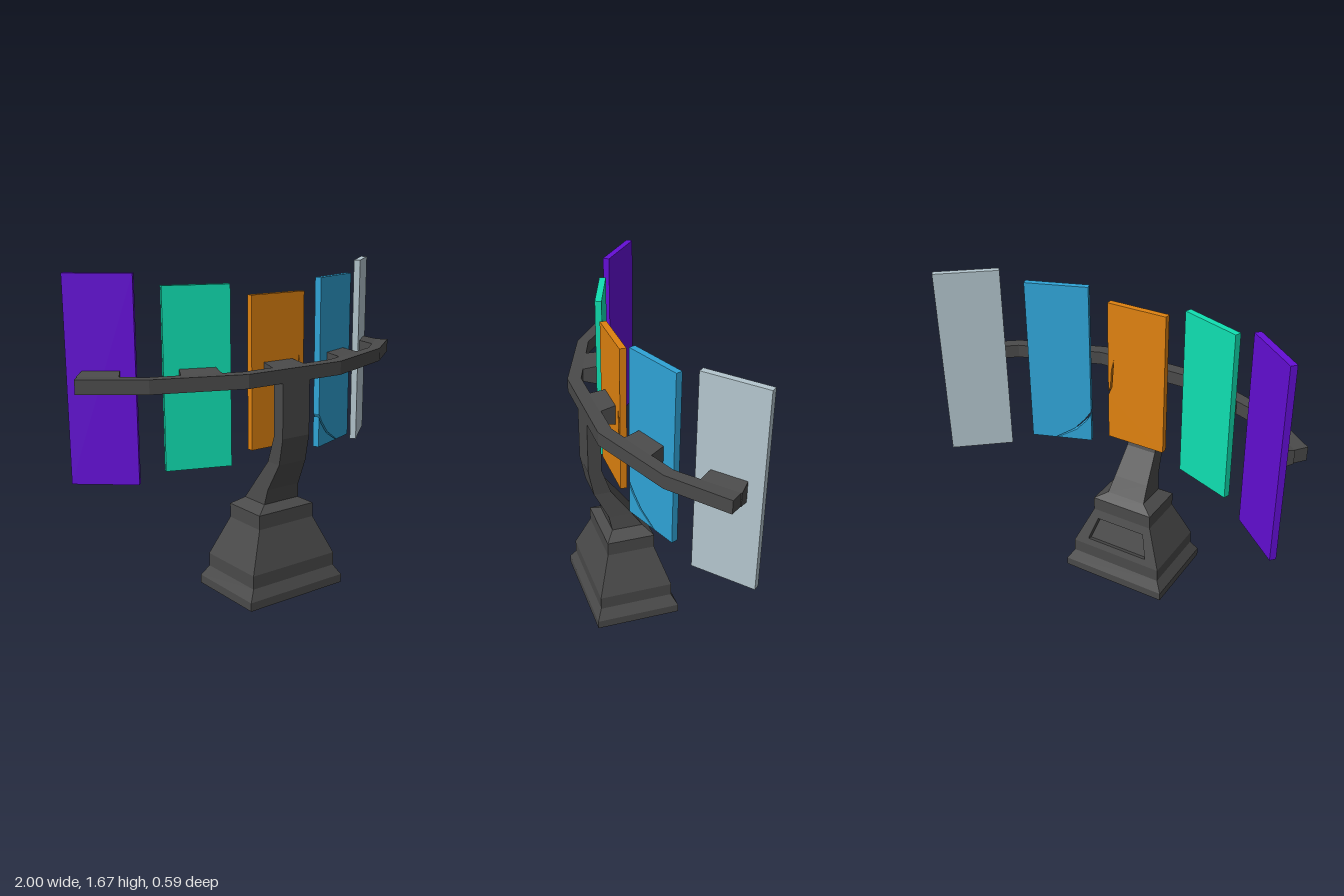
import * as THREE from 'three';

const DARK = 0x4a4a4a, THICK = 0.034, HALF = 0.165;

// Skin a list of four-cornered rings; skip(i, k) may leave out a side quad.
function loft(rings, { start = true, end = true, skip = () => false } = {}) {
  const pos = [];
  const quad = (a, b, c, d) => pos.push(...a, ...b, ...c, ...a, ...c, ...d);
  for (let i = 0; i < rings.length - 1; i++) {
    const r = rings[i], n = rings[i + 1];
    for (let k = 0; k < 4; k++) {
      const m = (k + 1) % 4;
      if (!skip(i, k)) quad(r[k], r[m], n[m], n[k]);
    }
  }
  if (start) quad(...[...rings[0]].reverse());
  if (end) quad(...rings[rings.length - 1]);
  const g = new THREE.BufferGeometry();
  g.setAttribute('position', new THREE.Float32BufferAttribute(pos, 3));
  g.computeVertexNormals();
  return g;
}

function part(name, geometry, color = DARK) {
  const mesh = new THREE.Mesh(geometry, new THREE.MeshStandardMaterial({ color, flatShading: true }));
  mesh.name = name;
  return mesh;
}

// Horizontal ring: height, half width, back z, front z
const level = ([y, h, zb, zf]) => [[-h, y, zf], [h, y, zf], [h, y, zb], [-h, y, zb]];
// Upright ring facing z
const upright = (h, y0, y1, z) => [[-h, y0, z], [h, y0, z], [h, y1, z], [-h, y1, z]];

// Plate cut from one or more outlines, centred on z = 0
function plate(outlines) {
  const shapes = outlines.map(o => new THREE.Shape(o.map(p => new THREE.Vector2(...p))));
  return new THREE.ExtrudeGeometry(shapes, { depth: THICK, bevelEnabled: false }).translate(0, 0, -THICK / 2);
}

export function createModel() {
  const model = new THREE.Group();

  // Stepped base, with the back slope left open for the recess
  const base = [
    [0, 0.30, -0.155, 0.295], [0.045, 0.30, -0.155, 0.295], [0.10, 0.265, -0.125, 0.268],
    [0.17, 0.265, -0.125, 0.268], [0.375, 0.175, -0.055, 0.2], [0.45, 0.175, -0.055, 0.2],
    [0.485, 0.11, -0.01, 0.155],
  ];
  model.add(part('base', loft(base.map(level), { skip: (i, k) => i === 3 && k === 2 })));

  // Sunken panel on the back slope
  const slope = (t, h, depth = 0) => [h, 0.17 + 0.205 * t - 0.32 * depth, -0.125 + 0.07 * t + 0.95 * depth];
  const frame = (t0, h0, t1, h1, d) => [slope(t0, h0, d), slope(t0, -h0, d), slope(t1, -h1, d), slope(t1, h1, d)];
  model.add(part('baseRecess', loft([
    frame(0, 0.265, 1, 0.175, 0), frame(0.17, 0.18, 0.78, 0.14, 0), frame(0.17, 0.18, 0.78, 0.14, 0.03),
  ], { start: false })));

  // Curved neck
  const stem = [
    [0.485, 0.11, -0.01, 0.155], [0.565, 0.1, 0.046, 0.17], [0.71, 0.085, 0.152, 0.243],
    [0.85, 0.085, 0.2, 0.27], [1.2, 0.085, 0.2, 0.27],
  ];
  model.add(part('stem', loft(stem.map(level))));

  // Bent crossbar: front x, front z, back x, back z
  const bends = [[0.29, 0.27, 0.275, 0.2], [0.73, 0.1, 0.7, 0.045], [1, -0.11, 0.957, -0.165]];
  const path = [...bends.map(([a, b, c, d]) => [-a, b, -c, d]).reverse(), ...bends];
  model.add(part('crossbar', loft(path.map(([fx, fz, bx, bz]) =>
    [[fx, 1.13, fz], [bx, 1.13, bz], [bx, 1.2, bz], [fx, 1.2, fz]]))));

  // Panels, each on a flared mounting block
  const places = [
    { x: 0, z: 0.1075, angle: 0, y0: 0.775, y1: 1.55, reach: 0.1 },
    { x: 0.4325, z: 0.043, angle: 20, y0: 0.715, y1: 1.61, reach: 0.098 },
    { x: 0.827, z: -0.172, angle: 40, y0: 0.655, y1: 1.67, reach: 0.09 },
  ];
  const addPanel = (name, { x, z, angle, y0, y1, reach }, side, color, outlines) => {
    const g = new THREE.Group();
    g.name = name;
    g.position.set(side * x, 0, z);
    g.rotation.y = side * THREE.MathUtils.degToRad(angle);
    g.add(part(name + 'Plate', plate(outlines || [[[-HALF, y0], [HALF, y0], [HALF, y1], [-HALF, y1]]]), color));
    g.add(part(name + 'Mount', loft([
      upright(0.09, 1.11, 1.215, THICK / 2), upright(0.1, 1.13, 1.2, reach),
    ])));
    model.add(g);
  };

  // Middle panel with a crack in its left edge
  addPanel('centerPanel', places[0], 1, 0xdf8210, [[
    [-HALF, 0.775], [HALF, 0.775], [HALF, 1.03], [0.143, 1.08], [0.13, 1.24],
    [0.145, 1.18], [0.152, 1.08], [HALF, 1.05], [HALF, 1.55], [-HALF, 1.55],
  ]]);
  // Inner left panel with a broken lower corner
  addPanel('innerLeftPanel', places[1], 1, 0x2fa3d6, [
    [[0.036, 0.715], [HALF, 0.715], [HALF, 1.61], [-HALF, 1.61], [-HALF, 0.895], [-0.13, 0.845], [-0.07, 0.78]],
    [[-HALF, 0.715], [0.026, 0.715], [-0.082, 0.776], [-0.14, 0.838], [-HALF, 0.88]],
  ]);
  addPanel('innerRightPanel', places[1], -1, 0x10e0b2);
  addPanel('outerLeftPanel', places[2], 1, 0xb4c6ce);
  addPanel('outerRightPanel', places[2], -1, 0x640ed6);

  return model;
}
